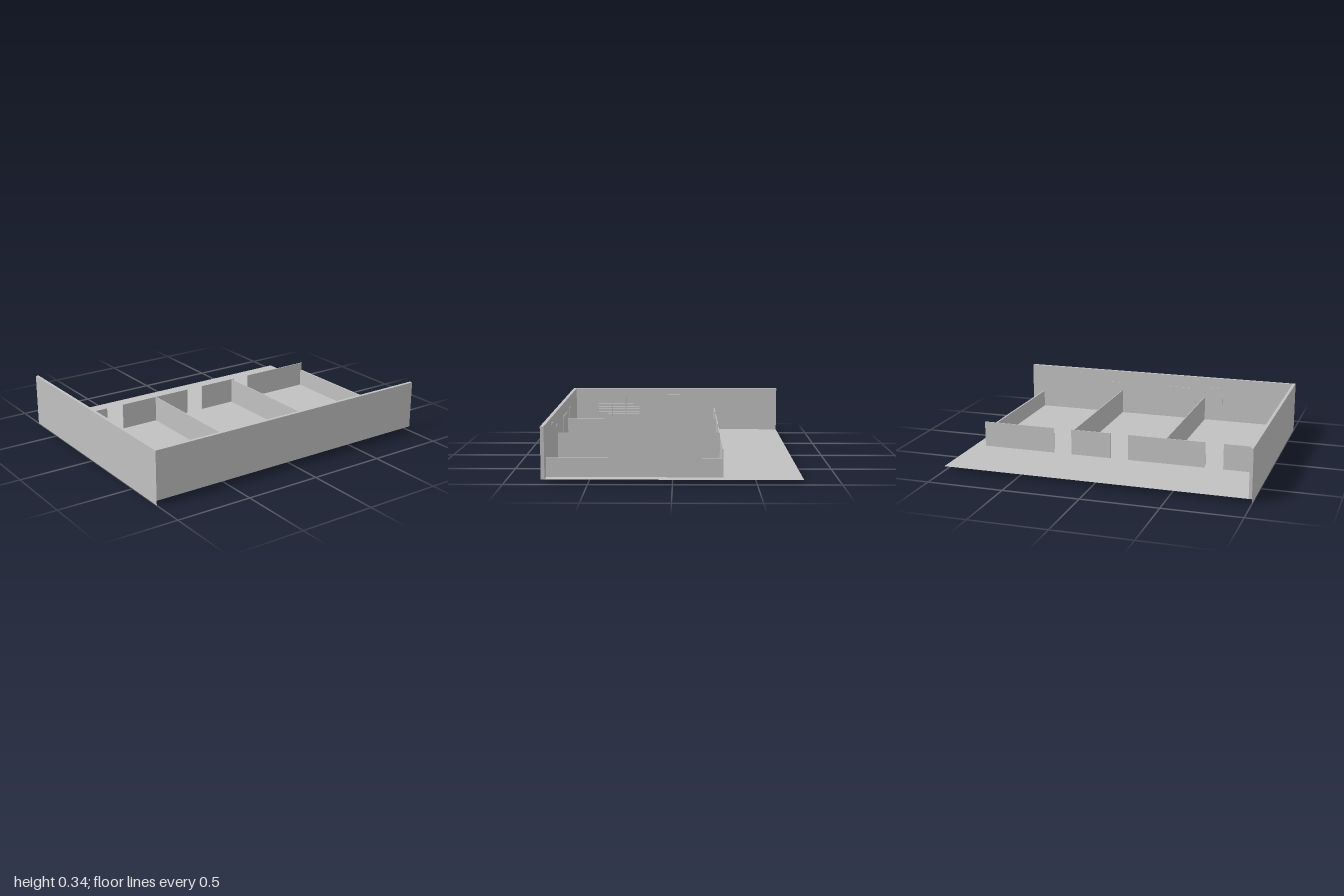
import * as THREE from 'three';

export function createModel() {
  const model = new THREE.Group();
  model.name = 'cutawayFloor';
  const plaster = new THREE.MeshStandardMaterial({ color: 0xc0c0c0, side: THREE.DoubleSide });
  plaster.name = 'plasterGrey';

  const BASE = 0.03, TOP = 0.345, HALF_Z = 0.774, INNER_Z = 0.752, INNER_X = -0.98;
  const REAR_Z = -0.3, LOW = 0.2;

  // Box given by its minimum and maximum on each axis
  function box(name, x0, x1, y0, y1, z0, z1, parent = model) {
    const mesh = new THREE.Mesh(new THREE.BoxGeometry(x1 - x0, y1 - y0, z1 - z0), plaster);
    mesh.position.set((x0 + x1) / 2, (y0 + y1) / 2, (z0 + z1) / 2);
    mesh.name = name;
    parent.add(mesh);
    return mesh;
  }

  // Floor sheet
  const floor = new THREE.Mesh(new THREE.PlaneGeometry(2, 2 * HALF_Z), plaster);
  floor.rotation.x = -Math.PI / 2;
  floor.position.y = BASE;
  floor.name = 'floor';
  model.add(floor);

  // Tall outer walls
  box('frontWall', INNER_X, 1, BASE, TOP, INNER_Z, HALF_Z);
  box('sideWall', -1, INNER_X, BASE, TOP, -HALF_Z, HALF_Z);

  // Thin skirt below the side wall, reaching the ground
  const skirt = new THREE.Mesh(new THREE.PlaneGeometry(2 * HALF_Z, BASE), plaster);
  skirt.rotation.y = -Math.PI / 2;
  skirt.position.set(-1, BASE / 2, 0);
  skirt.name = 'sideSkirt';
  model.add(skirt);

  // Room dividers, and the lower wall at the open side
  for (const x of [-0.344, 0.287]) {
    box('divider', x - 0.003, x + 0.003, BASE, LOW, REAR_Z, HALF_Z);
  }
  box('lowSideWall', 0.912, 0.924, BASE, 0.145, REAR_Z, INNER_Z);

  // Corridor wall, broken by the doorways
  for (const [x0, x1] of [[INNER_X, -0.722], [-0.603, -0.089], [0.032, 0.305], [0.427, 0.924]]) {
    box('corridorWall', x0, x1, BASE, LOW, REAR_Z - 0.003, REAR_Z + 0.003);
  }

  // Thin boards and fittings on the inside of the front wall
  const boards = [
    [-0.48, -0.395, 0.15, 0.27],
    [-0.275, -0.037, 0.15, 0.26],
    [0.3, 0.395, 0.254, 0.26],
    [0.582, 0.618, 0.295, 0.31],
  ];
  for (const [x0, x1, y0, y1] of boards) box('wallBoard', x0, x1, y0, y1, INNER_Z - 0.004, INNER_Z);

  // Small ledges on the side wall
  box('wallLedge', INNER_X, INNER_X + 0.004, 0.244, 0.25, -0.62, -0.535);
  box('wallLedge', INNER_X, INNER_X + 0.004, 0.294, 0.3, -0.075, 0.055);

  // Slatted rack on the side wall
  const rack = new THREE.Group();
  rack.name = 'slattedRack';
  model.add(rack);
  const z0 = 0.268, z1 = 0.585, y0 = 0.13, y1 = 0.283, front = -0.965, t = 0.002;
  for (let i = 0; i <= 3; i++) {
    const z = z0 + t + (z1 - z0 - 2 * t) * i / 3;
    box('rackUpright', INNER_X, front, y0, y1, z - t, z + t, rack);
  }
  for (let i = 0; i <= 8; i++) {
    const y = y0 + t / 2 + (y1 - y0 - t) * i / 8;
    box('rackSlat', INNER_X, front, y - t / 2, y + t / 2, z0, z1, rack);
  }

  return model;
}
